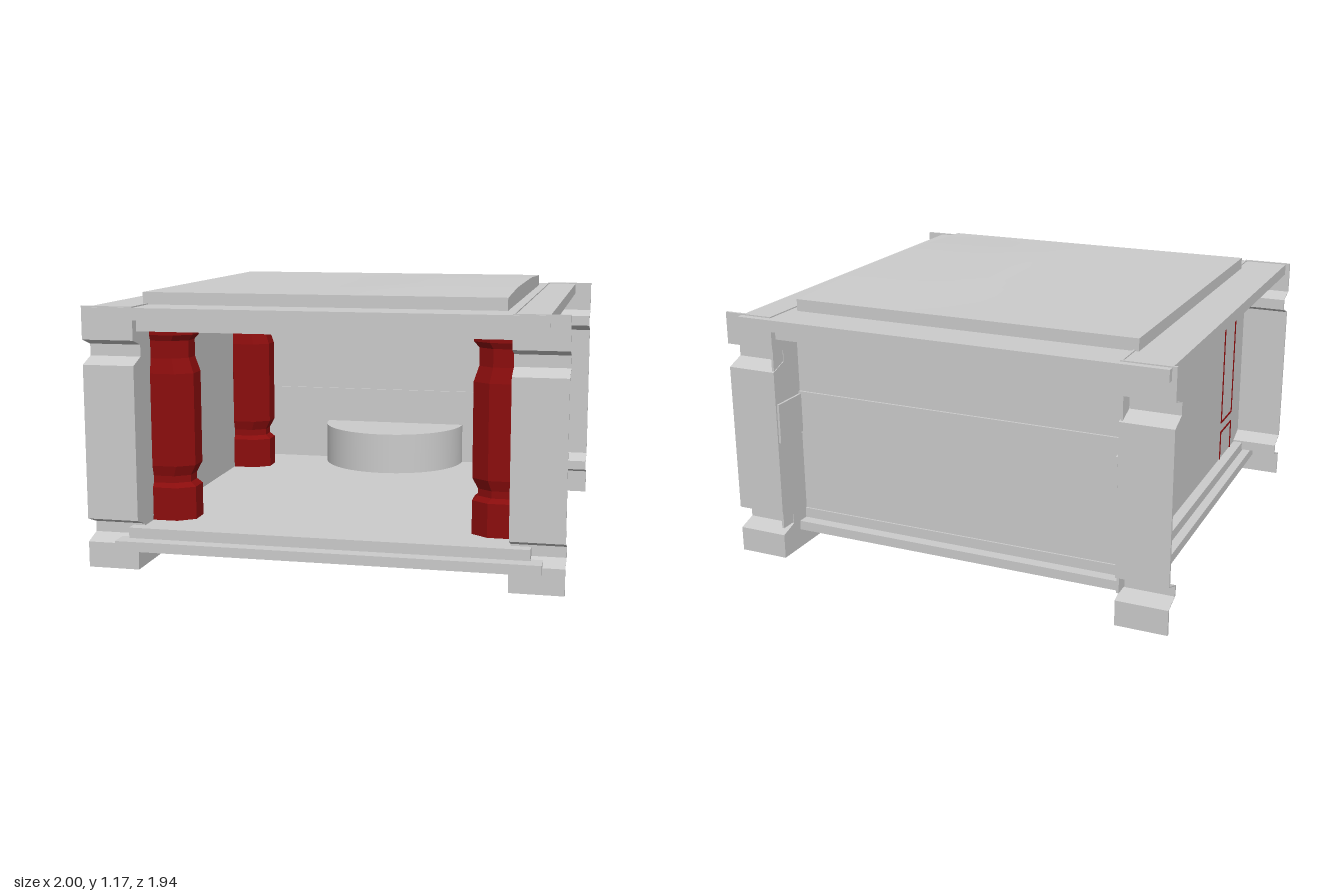
import * as THREE from 'three';

const grey = new THREE.MeshStandardMaterial({ color: 0xcccccc, side: THREE.DoubleSide });
const red = new THREE.MeshStandardMaterial({ color: 0x8c0d0d, side: THREE.DoubleSide, flatShading: true });

function add(parent, name, geometry, material = grey) {
  const mesh = new THREE.Mesh(geometry, material);
  mesh.name = name;
  parent.add(mesh);
  return mesh;
}

// Box given by its limits
function block(x0, x1, y0, y1, z0, z1, sx = 1, sz = 1) {
  return new THREE.BoxGeometry(x1 - x0, y1 - y0, z1 - z0, sx, 1, sz)
    .translate((x0 + x1) / 2, (y0 + y1) / 2, (z0 + z1) / 2);
}

// Shape drawn in (z, y), given thickness inward from xOuter
function sidePlate(shape, xOuter, depth) {
  return new THREE.ExtrudeGeometry(shape, { depth, bevelEnabled: false })
    .rotateY(-Math.PI / 2).translate(xOuter, 0, 0);
}

function shapeOf(points) {
  return new THREE.Shape(points.map(([a, b]) => new THREE.Vector2(a, b)));
}

function rectangle(x0, x1, y0, y1) {
  return shapeOf([[x0, y0], [x1, y0], [x1, y1], [x0, y1]]);
}

// Shallow sheet tray: a plate with skirts hanging from its edges
function tray(parent, name, x0, x1, z0, z1, yLow, yTop) {
  const group = new THREE.Group();
  group.name = name;
  const t = 0.012;
  add(group, name + 'Plate', block(x0, x1, yTop - t, yTop, z0, z1));
  for (const x of [x0, x1 - t]) add(group, name + 'SideSkirt', block(x, x + t, yLow, yTop, z0, z1));
  for (const z of [z0, z1 - t]) add(group, name + 'EndSkirt', block(x0, x1, yLow, yTop, z, z + t));
  parent.add(group);
}

// Edge profile (z, y) with two notches, shared by walls and flanges
const EDGE = [[0.94, 0], [0.94, 0.11], [0.86, 0.135], [0.86, 0.18], [0.94, 0.21],
  [0.94, 0.865], [0.86, 0.895], [0.86, 0.945], [0.94, 0.97], [0.94, 1.11]];

// Half-octagon post lofted through (height, scale) rings, open below
function postGeometry() {
  const section = [[0, -0.095], [0.11, -0.095], [0.18, -0.045], [0.18, 0.045], [0.11, 0.095], [0, 0.095]];
  const rings = [[0.08, 1], [0.315, 1], [0.335, 0.87], [0.365, 0.87], [0.41, 1],
    [0.81, 1], [0.875, 0.88], [0.95, 0.88], [0.975, 1], [1.04, 1]];
  const positions = [], index = [], n = section.length;
  for (const [y, s] of rings) for (const [d, z] of section) positions.push(0.78 - d * s, y, z * s);
  for (let r = 0; r < rings.length - 1; r++) {
    for (let i = 0; i < n - 1; i++) {
      const a = r * n + i, b = a + n;
      index.push(a, a + 1, b, a + 1, b + 1, b);
    }
  }
  const geometry = new THREE.BufferGeometry();
  geometry.setAttribute('position', new THREE.Float32BufferAttribute(positions, 3));
  geometry.setIndex(index);
  geometry.computeVertexNormals();
  return geometry;
}

// One side: wall, corner flanges, posts and their outlines on the wall
function buildSide() {
  const side = new THREE.Group();
  const rear = EDGE.map(([z, y]) => [-z, y]).reverse();
  add(side, 'sideWall', sidePlate(shapeOf([...EDGE, ...rear]), 0.785, 0.008));

  const inner = EDGE.map(([z, y]) => [z - 0.012, y]).reverse();
  const flange = sidePlate(shapeOf([...EDGE, ...inner]), 1, 0.22);
  add(side, 'frontFlange', flange);
  add(side, 'rearFlange', flange).scale.z = -1;

  const post = postGeometry();
  for (const z of [0.665, -0.475]) {
    add(side, 'post', post, red).position.z = z;
    for (const [y0, y1] of [[0.08, 0.318], [0.362, 0.868], [0.968, 1.04]]) {
      const outline = rectangle(-0.097, 0.097, y0, y1);
      outline.holes.push(rectangle(-0.09, 0.09, y0 + 0.008, y1 - 0.008));
      add(side, 'postOutline', sidePlate(outline, 0.789, 0.012), red).position.z = z;
    }
  }

  // Returns of the back panels wrapped along the wall
  add(side, 'upperReturn', block(0.78, 0.79, 0.72, 1.03, -0.932, -0.74));
  add(side, 'lowerReturn', block(0.78, 0.79, 0.14, 0.545, -0.932, -0.74));
  add(side, 'middleReturn', block(0.765, 0.775, 0.545, 0.72, -0.935, -0.74));
  return side;
}

export function createModel() {
  const model = new THREE.Group();
  model.name = 'openBox';

  const leftSide = buildSide();
  leftSide.name = 'leftSide';
  const rightSide = buildSide();
  rightSide.name = 'rightSide';
  rightSide.scale.x = -1;
  model.add(leftSide, rightSide);

  // Back wall in three panels, the middle one set back a little
  add(model, 'backPanelLower', block(-0.78, 0.78, 0.14, 0.545, -0.752, -0.74));
  add(model, 'backPanelMiddle', block(-0.78, 0.78, 0.535, 0.73, -0.762, -0.75));
  add(model, 'backPanelUpper', block(-0.78, 0.78, 0.72, 1.03, -0.752, -0.74));

  // Half drum standing against the back wall, open below
  const drum = new THREE.Group();
  drum.name = 'drum';
  drum.position.z = -0.74;
  add(drum, 'drumWall', new THREE.CylinderGeometry(0.36, 0.36, 0.29, 32, 1, true, -Math.PI / 2, Math.PI)
    .translate(0, 0.225, 0));
  add(drum, 'drumTop', new THREE.CircleGeometry(0.36, 32, Math.PI, Math.PI)
    .rotateX(-Math.PI / 2).translate(0, 0.37, 0));
  model.add(drum);

  // Floor tray and the wider frame beneath it
  tray(model, 'floor', -0.83, 0.86, -0.76, 0.91, 0.12, 0.172);
  const frame = rectangle(-0.87, 0.91, -0.97, 0.81);
  frame.holes.push(rectangle(-0.79, 0.79, -0.9, 0.75));
  add(model, 'floorFrame', new THREE.ExtrudeGeometry(frame, { depth: 0.042, bevelEnabled: false })
    .rotateX(-Math.PI / 2).translate(0, 0.085, 0));

  // Roof of two nested trays
  tray(model, 'roofLower', -0.84, 0.84, -0.91, 0.9, 1.005, 1.06);
  tray(model, 'roofUpper', -0.98, 0.92, -0.97, 0.945, 1.055, 1.105);

  // Raised roof panel, bulging slightly towards the left
  const panel = block(-0.8, 0.74, 1.1, 1.157, -0.79, 0.76, 12, 12);
  const p = panel.attributes.position;
  for (let i = 0; i < p.count; i++) {
    if (p.getY(i) < 1.13) continue;
    const rise = THREE.MathUtils.smoothstep(p.getX(i), -0.15, 0.35)
      * (1 - THREE.MathUtils.smoothstep(Math.abs(p.getZ(i)), 0.3, 0.8));
    p.setY(i, p.getY(i) + 0.015 * rise);
  }
  panel.computeVertexNormals();
  add(model, 'roofPanel', panel);

  return model;
}
